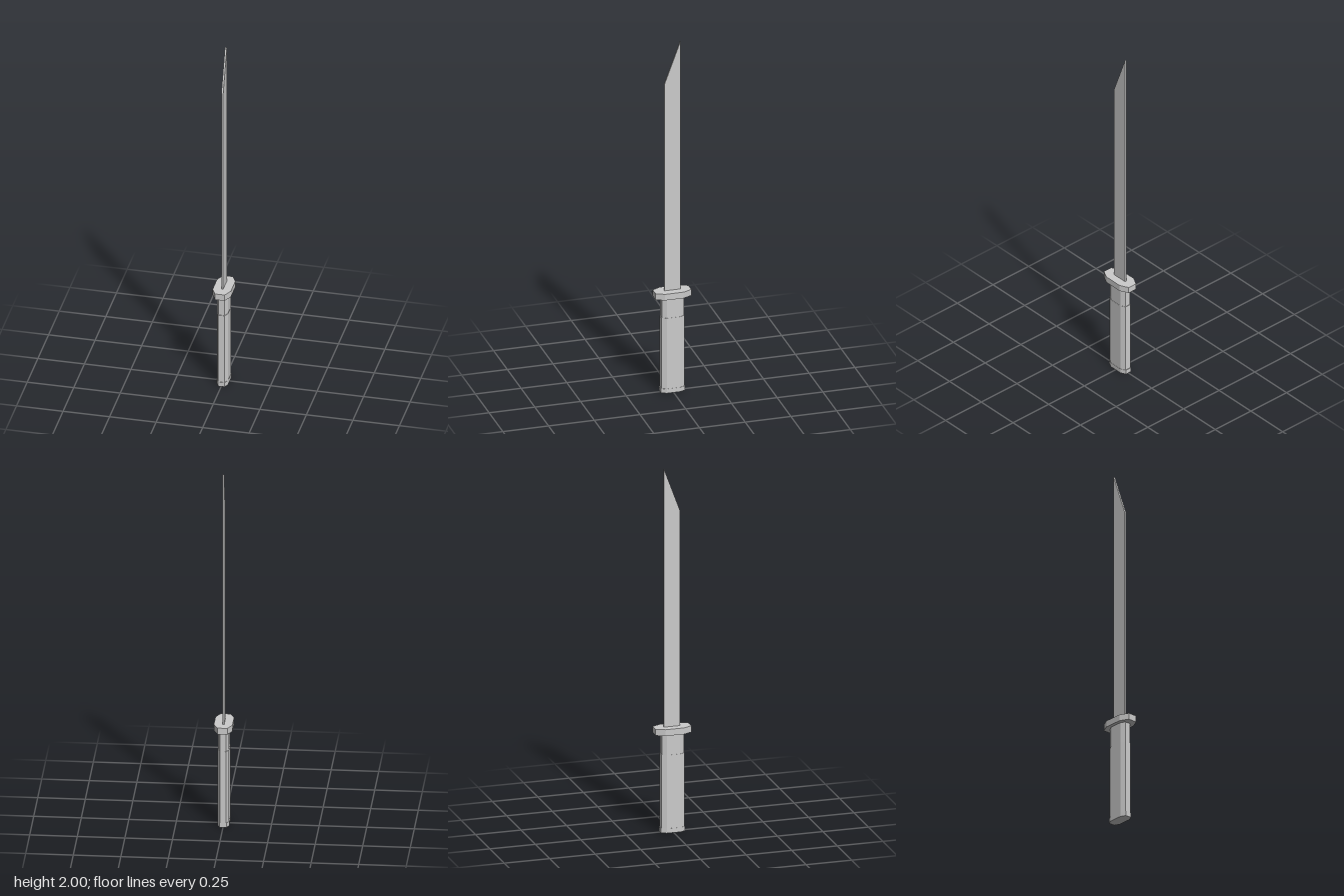
import * as THREE from 'three';

const material = new THREE.MeshStandardMaterial({ color: 0xcccccc, flatShading: true });

// Upright prism with an elongated octagon section, from y0 to y1
function octPrism(name, halfX, halfZ, flatX, flatZ, y0, y1) {
  const shape = new THREE.Shape([
    [flatX, -halfZ], [halfX, -flatZ], [halfX, flatZ], [flatX, halfZ],
    [-flatX, halfZ], [-halfX, flatZ], [-halfX, -flatZ], [-flatX, -halfZ],
  ].map(([x, z]) => new THREE.Vector2(x, z)));
  const geometry = new THREE.ExtrudeGeometry(shape, { depth: y1 - y0, bevelEnabled: false });
  geometry.rotateX(-Math.PI / 2).translate(0, y0, 0);
  const mesh = new THREE.Mesh(geometry, material);
  mesh.name = name;
  return mesh;
}

export function createModel() {
  const group = new THREE.Group();
  group.name = 'shortSword';

  // Grip, its slightly thicker lower part, end cap and guard
  group.add(
    octPrism('grip', 0.029, 0.06, 0.016, 0.036, 0.01, 0.55),
    octPrism('lowerGrip', 0.03, 0.063, 0.017, 0.037, 0.01, 0.43),
    octPrism('pommel', 0.031, 0.066, 0.018, 0.038, 0, 0.025),
    octPrism('guard', 0.049, 0.098, 0.026, 0.052, 0.543, 0.578),
  );

  // Thin flat blade with a slanted tip, outlined in (z, y)
  const outline = [[-0.045, 0.55], [0.042, 0.55], [0.042, 1.765], [-0.045, 2]];
  const shape = new THREE.Shape(outline.map(([z, y]) => new THREE.Vector2(z, y)));
  const thickness = 0.01;
  const bladeGeometry = new THREE.ExtrudeGeometry(shape, { depth: thickness, bevelEnabled: false });
  bladeGeometry.translate(0, 0, -thickness / 2).rotateY(-Math.PI / 2);
  const blade = new THREE.Mesh(bladeGeometry, material);
  blade.name = 'blade';
  group.add(blade);

  return group;
}
